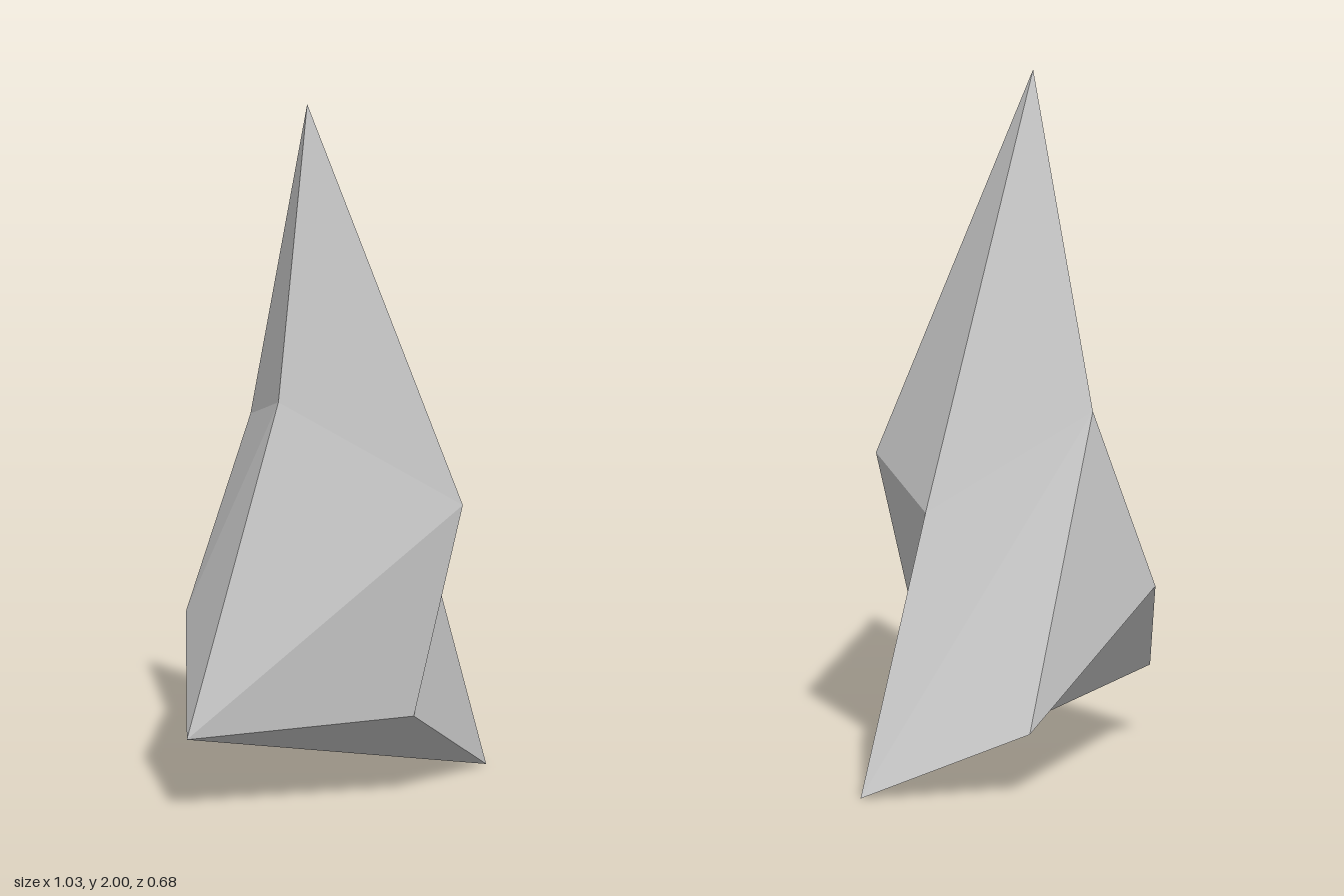
import * as THREE from 'three';

// Faceted, leaning rock spike: tip, shoulder ring and foot ring
export function createModel() {
  const tip = [-0.12, 2, 0.03];
  // Rings run front-left, front, right, back, back-left as seen from above
  const backShoulder = [-0.16, 1.06, -0.22];
  const shoulder = [
    [-0.23, 1.16, 0.06], [0.205, 0.87, 0.34], [0.265, 0.78, -0.015], backShoulder, backShoulder,
  ];
  const foot = [
    [-0.52, 0.22, 0.05], [0.11, 0.25, 0.23], [0.515, 0, -0.07], [0.125, 0.19, -0.34], [-0.38, 0.52, -0.2],
  ];

  const positions = [];
  const tri = (a, b, c) => {
    if (a !== b && b !== c && c !== a) positions.push(...a, ...b, ...c);
  };

  // Sides and upper facets; the back shoulder corner is shared by two columns
  for (let i = 0; i < 5; i++) {
    const j = (i + 1) % 5;
    tri(foot[i], foot[j], shoulder[j]);
    tri(foot[i], shoulder[j], shoulder[i]);
    tri(shoulder[i], shoulder[j], tip);
  }

  // Underside fans out from the lowest corner
  for (let i = 2; i < 5; i++) tri(foot[2], foot[(8 - i + 0) % 5 === 1 ? 1 : (8 - i) % 5], foot[(7 - i) % 5]);

  const geometry = new THREE.BufferGeometry();
  geometry.setAttribute('position', new THREE.Float32BufferAttribute(positions, 3));
  geometry.computeVertexNormals();

  const rock = new THREE.Mesh(
    geometry,
    new THREE.MeshStandardMaterial({ color: 0xcccccc, flatShading: true }),
  );
  rock.name = 'rockSpike';

  const group = new THREE.Group();
  group.name = 'rock';
  group.add(rock);
  return group;
}
